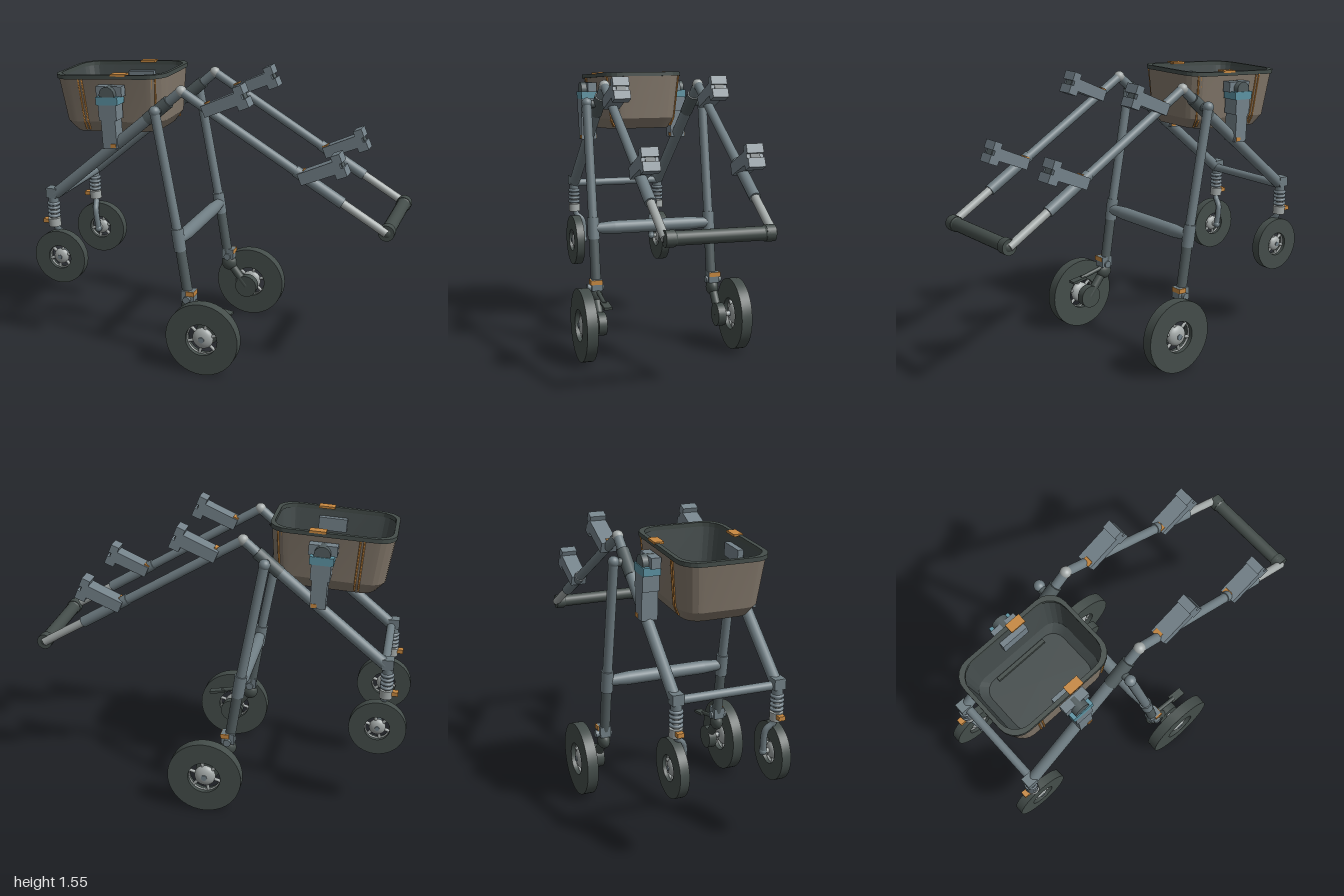
import * as THREE from 'three';
import { toCreasedNormals } from 'three/addons/utils/BufferGeometryUtils.js';

const mat = (name, color, side = THREE.FrontSide) => {
  const m = new THREE.MeshStandardMaterial({ color, side });
  m.name = name;
  return m;
};

export function createModel() {
  const steel = mat('blue grey steel', 0x6f7d83);
  const clampGrey = mat('clamp grey', 0x74828a);
  const dark = mat('dark rubber', 0x444d4a);
  const darkSteel = mat('dark steel', 0x525d5f);
  const light = mat('light alloy', 0xa3a9a8);
  const brown = mat('brown shell', 0x82776a);
  const lining = mat('dark lining', 0x434b4b);
  const orange = mat('orange', 0xc78840);
  const teal = mat('teal', 0x5c93a3);

  const root = new THREE.Group();
  root.name = 'strollerFrame';
  const V = (x, y, z) => new THREE.Vector3(x, y, z);

  const add = (name, geo, m, parent, x = 0, y = 0, z = 0) => {
    const mesh = new THREE.Mesh(geo, m);
    mesh.name = name;
    mesh.position.set(x, y, z);
    parent.add(mesh);
    return mesh;
  };
  const box = (name, w, h, d, m, p, x, y, z) => add(name, new THREE.BoxGeometry(w, h, d), m, p, x, y, z);
  const ball = (name, r, m, p, x, y, z) => add(name, new THREE.SphereGeometry(r, 20, 14), m, p, x, y, z);
  // cylinder running from a to b
  const rod = (name, a, b, r, m, p = root, r2 = r, sides = 20) => {
    const mesh = add(name, new THREE.CylinderGeometry(r2, r, a.distanceTo(b), sides), m, p);
    mesh.position.copy(a).add(b).multiplyScalar(0.5);
    mesh.quaternion.setFromUnitVectors(V(0, 1, 0), b.clone().sub(a).normalize());
    return mesh;
  };

  // wheel with solid tyre disc, spokes and domed hub, axle along z
  function wheel(name, R, width, x, y, z) {
    const g = new THREE.Group();
    g.name = name;
    g.position.set(x, y, z);
    root.add(g);
    const ri = R * 0.44, h = width / 2;
    const pts = [[ri, -h], [R, -h], [R, h], [ri, h], [ri, -h]].map(([a, b]) => new THREE.Vector2(a, b));
    const tyre = toCreasedNormals(new THREE.LatheGeometry(pts, 40), 0.5);
    add('tyre', tyre.rotateX(Math.PI / 2), dark, g);
    add('rimRing', new THREE.TorusGeometry(ri, 0.006, 8, 32), light, g);
    for (let i = 0; i < 6; i++) {
      const a = (i * Math.PI) / 3 + 0.3;
      rod('spoke', V(0, 0, 0), V(Math.cos(a) * ri, Math.sin(a) * ri, 0), 0.009, light, g, 0.009, 8);
    }
    ball('hub', R * 0.29, light, g, 0, 0, 0).scale.z = h / (R * 0.29);
    rod('hubCap', V(0, 0, -h - 0.003), V(0, 0, h + 0.003), R * 0.08, clampGrey, g);
  }

  // bracket profile: slim body with a tall notched end plate
  const bracketShape = new THREE.Shape([
    [0, -0.033], [0.185, -0.033], [0.185, -0.06], [0.242, -0.06], [0.242, -0.012], [0.226, -0.012],
    [0.226, 0.012], [0.242, 0.012], [0.242, 0.06], [0.195, 0.06], [0.195, 0.033], [0, 0.028],
  ].map(([a, b]) => new THREE.Vector2(a, b)));
  function bracket(x, y, z, s) {
    const g = new THREE.Group();
    g.name = 'accessoryBracket';
    g.position.set(x, y, z);
    g.rotation.z = 0.4;
    root.add(g);
    add('bracketBody', new THREE.ExtrudeGeometry(bracketShape, { depth: 0.088, bevelEnabled: false }), clampGrey, g, 0, 0, -0.044);
    box('endPad', 0.008, 0.05, 0.05, darkSteel, g, 0.228, 0, 0);
    box('latch', 0.03, 0.008, 0.045, orange, g, 0.015, 0.031, -0.01 * s);
  }

  for (const s of [1, -1]) {
    const z = 0.268 * s, zl = 0.337 * s;
    // side frame tubes
    rod('frontTube', V(-0.87, 0.86, z), V(-0.24, 1.385, z), 0.031, steel);
    rod('hingeSleeve', V(-0.32, 1.318, z), V(-0.2, 1.42, z), 0.034, darkSteel);
    rod('upperTube', V(-0.24, 1.385, z), V(-0.13, 1.48, z), 0.026, steel);
    ball('topHinge', 0.03, light, root, -0.13, 1.48, z);
    rod('handleTube', V(-0.13, 1.48, z), V(0.52, 1.09, z), 0.025, steel);
    rod('handleSleeve', V(0.48, 1.115, z), V(0.73, 0.966, z), 0.03, steel);
    rod('handleExtension', V(0.7, 0.984, z), V(0.955, 0.832, z), 0.022, light);
    ball('handleEnd', 0.041, dark, root, 0.955, 0.832, 0.238 * s);

    // accessory brackets
    bracket(0, 1.392, z, s);
    bracket(0.51, 1.082, z, s);

    // basket mount
    const mount = new THREE.Group();
    mount.name = 'basketMount';
    mount.position.set(-0.517, 1.16, z);
    mount.rotation.z = 0.05;
    root.add(mount);
    box('mountFoot', 0.08, 0.16, 0.085, clampGrey, mount, 0, 0.075, 0);
    box('mountBody', 0.1, 0.1, 0.088, clampGrey, mount, 0, 0.195, 0);
    box('mountSlider', 0.122, 0.042, 0.09, teal, mount, 0, 0.248, 0);
    box('mountPlate', 0.145, 0.055, 0.05, clampGrey, mount, 0, 0.292, -0.016 * s);
    rod('mountKnuckle', V(0, 0.28, -0.03 * s), V(0, 0.28, 0.04 * s), 0.042, darkSteel, mount);
    box('mountLatch', 0.03, 0.02, 0.092, orange, mount, 0.02, 0.01, 0);

    // rear leg
    rod('legPivot', V(-0.25, 1.375, z), V(-0.25, 1.375, zl), 0.022, darkSteel);
    ball('legTop', 0.03, steel, root, -0.25, 1.38, zl);
    rod('upperLeg', V(-0.252, 1.39, zl), V(-0.125, 0.7, zl), 0.026, steel);
    rod('legSleeve', V(-0.136, 0.76, zl), V(-0.118, 0.64, zl), 0.033, steel);
    rod('lowerLeg', V(-0.125, 0.7, zl), V(-0.078, 0.4, zl), 0.028, darkSteel);
    box('footBlock', 0.07, 0.06, 0.06, steel, root, -0.07, 0.395, 0.34 * s);
    rod('footPin', V(-0.07, 0.38, 0.3 * s), V(-0.07, 0.38, 0.39 * s), 0.02, steel);
    box('footLatch', 0.045, 0.025, 0.064, orange, root, -0.055, 0.412, 0.345 * s);
    ball('suspensionBall', 0.046, dark, root, -0.067, 0.335, 0.34 * s).scale.z = 0.75;
    rod('suspensionArm', V(-0.067, 0.335, 0.342 * s), V(0.04, 0.2, 0.342 * s), 0.024, dark, root, 0.024);
    rod('suspensionHub', V(0.04, 0.2, 0.32 * s), V(0.04, 0.2, 0.365 * s), 0.064, dark, root, 0.064, 28);
    rod('rearAxle', V(0.04, 0.2, 0.36 * s), V(0.04, 0.2, 0.42 * s), 0.015, light);
    wheel('rearWheel', 0.2, 0.06, 0.04, 0.2, 0.435 * s);

    // front caster: post, spring, collar and one-sided fork
    box('postCap', 0.06, 0.055, 0.06, steel, root, -0.885, 0.868, z);
    rod('post', V(-0.885, 0.86, z), V(-0.885, 0.78, z), 0.028, steel);
    rod('springCore', V(-0.885, 0.82, z), V(-0.885, 0.7, z), 0.02, light);
    for (let i = 0; i < 4; i++)
      add('springCoil', new THREE.TorusGeometry(0.027, 0.009, 8, 20).rotateX(Math.PI / 2), clampGrey, root, -0.885, 0.805 - i * 0.023, z);
    rod('collar', V(-0.885, 0.72, z), V(-0.882, 0.675, z), 0.034, light);
    box('swivelLatch', 0.055, 0.022, 0.035, orange, root, -0.918, 0.702, z);
    const fork = new THREE.CatmullRomCurve3([V(-0.882, 0.69, z), V(-0.875, 0.655, 0.255 * s), V(-0.865, 0.62, 0.222 * s), V(-0.85, 0.5, 0.218 * s)]);
    add('forkArm', new THREE.TubeGeometry(fork, 20, 0.017, 12), steel, root);
    ball('forkEnd', 0.02, steel, root, -0.85, 0.5, 0.218 * s);
    rod('frontAxle', V(-0.85, 0.5, 0.218 * s), V(-0.85, 0.5, 0.25 * s), 0.014, light);
    wheel('frontWheel', 0.15, 0.048, -0.85, 0.5, 0.27 * s);
  }

  // brake pedal on the left foot only
  rod('brakeArm', V(-0.05, 0.36, 0.335), V(0.1, 0.325, 0.335), 0.012, dark);
  box('brakePedal', 0.09, 0.014, 0.045, dark, root, 0.125, 0.32, 0.333).rotation.z = -0.15;

  // cross members
  rod('handleGrip', V(0.955, 0.832, -0.24), V(0.955, 0.832, 0.24), 0.035, dark);
  for (const s of [1, -1])
    rod('gripCap', V(0.955, 0.832, 0.225 * s), V(0.955, 0.832, 0.272 * s), 0.041, dark);
  rod('frontCrossbar', V(-0.87, 0.852, -0.265), V(-0.87, 0.852, 0.265), 0.023, steel);
  rod('rearCrossbar', V(-0.125, 0.7, -0.22), V(-0.125, 0.7, 0.22), 0.037, steel);
  for (const s of [1, -1])
    rod('crossbarEnd', V(-0.125, 0.7, 0.22 * s), V(-0.125, 0.7, 0.325 * s), 0.037, steel, root, 0.028);

  // rounded-rectangle rings joined into a skin
  const ring = (hx, hz, r, y) => {
    const pts = [];
    [[1, 1], [-1, 1], [-1, -1], [1, -1]].forEach(([cx, cz], q) => {
      for (let i = 0; i <= 5; i++) {
        const a = (q + i / 5) * Math.PI / 2;
        pts.push(V(cx * (hx - r) + r * Math.cos(a), y, cz * (hz - r) + r * Math.sin(a)));
      }
    });
    return pts;
  };
  const loft = (rings) => {
    const n = rings[0].length, pos = [], idx = [];
    rings.forEach((rg) => rg.forEach((p) => pos.push(p.x, p.y, p.z)));
    for (let i = 0; i < rings.length - 1; i++)
      for (let j = 0; j < n; j++) {
        const a = i * n + j, b = i * n + ((j + 1) % n);
        idx.push(a, a + n, b, b, a + n, b + n);
      }
    const g = new THREE.BufferGeometry();
    g.setAttribute('position', new THREE.Float32BufferAttribute(pos, 3));
    g.setIndex(idx);
    return toCreasedNormals(g, 0.25);
  };

  // basket, tipped slightly back
  const basket = new THREE.Group();
  basket.name = 'basket';
  basket.position.set(-0.567, 1.515, 0);
  basket.rotation.z = 0.06;
  root.add(basket);
  add('basketShell', loft([
    ring(0.0002, 0.0002, 0.0001, -0.302), ring(0.243, 0.172, 0.08, -0.302),
    ring(0.288, 0.198, 0.09, -0.245), ring(0.315, 0.224, 0.1, 0),
  ]), brown, basket);
  add('basketLining', loft([
    ring(0.303, 0.212, 0.09, 0), ring(0.276, 0.186, 0.08, -0.24),
    ring(0.235, 0.162, 0.07, -0.288), ring(0.0002, 0.0002, 0.0001, -0.288),
  ]), lining, basket);
  const rim = [[0.32, 0.232, -0.01], [0.32, 0.232, 0.012], [0.3, 0.21, 0.012], [0.3, 0.21, -0.01], [0.32, 0.232, -0.01]];
  add('basketRim', loft(rim.map(([a, b, y]) => ring(a, b, 0.1, y))), dark, basket);
  for (const s of [1, -1]) {
    // twin straps down each side
    for (const [xt, xb, inset] of [[-0.155, -0.148, 0], [0.262, 0.238, 0.014]])
      for (const o of [-0.01, 0.01]) {
        const lo = V(xb + o, -0.245, (0.199 - inset) * s);
        rod('strap', V(xt + o, -0.008, (0.224 - inset) * s), lo, 0.005, orange, basket, 0.005, 6);
        rod('strapTail', lo, V(xb + o, -0.29, (0.179 - inset) * s), 0.005, orange, basket, 0.005, 6);
      }
    box('rimTab', 0.085, 0.012, 0.05, orange, basket, 0.07, 0.012, 0.21 * s);
    box('innerBlock', 0.15, 0.07, 0.03, clampGrey, basket, 0.03, -0.075, 0.19 * s);
    box('floorRail', 0.3, 0.02, 0.02, dark, basket, 0, -0.28, 0.145 * s);
  }
  return root;
}
